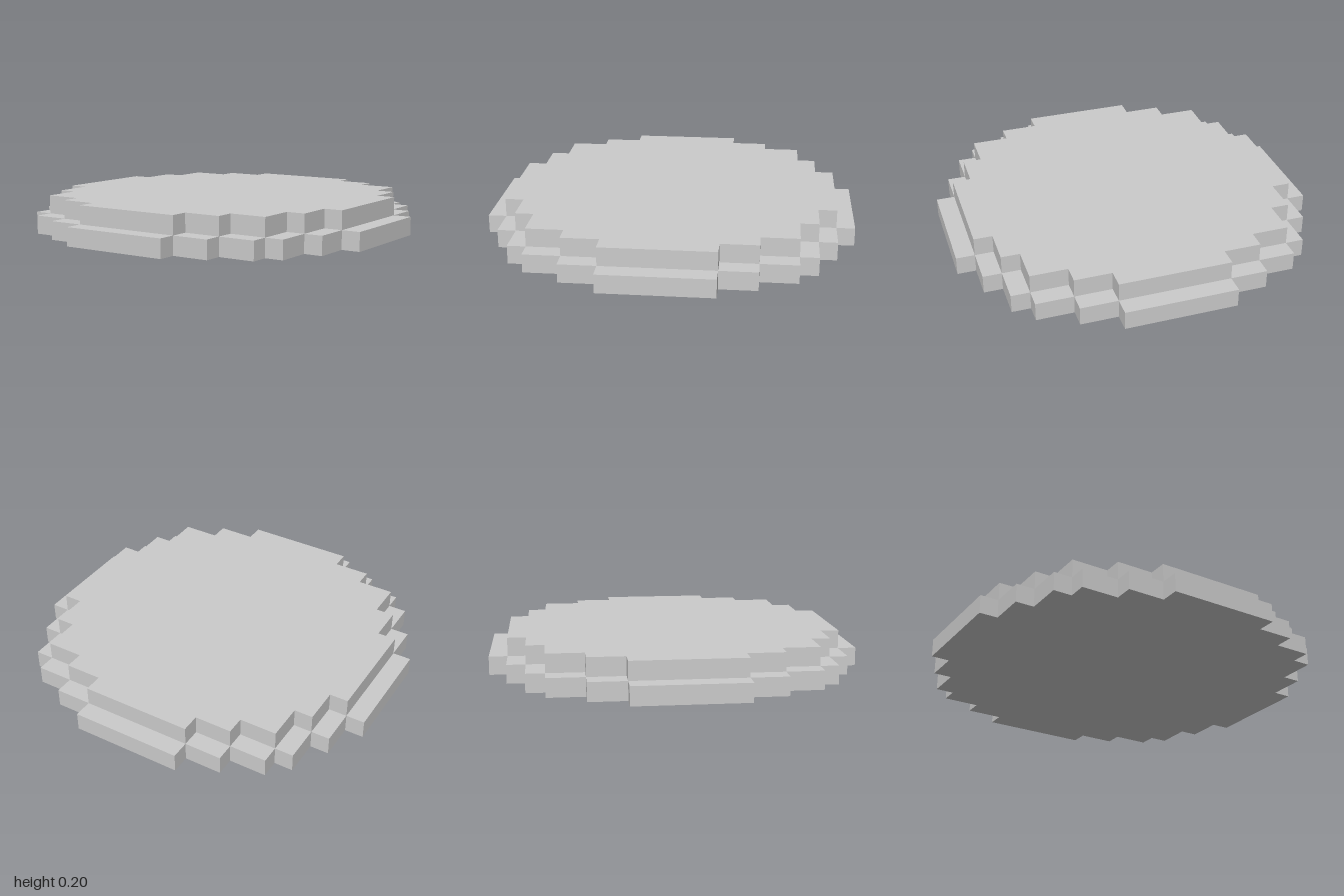
import * as THREE from 'three';

const TIER_HEIGHT = 0.1;

// Outer corners [x, z] of one stepped quadrant, from the +x side round to the +z side
const LOWER_STEPS = [[1, 0.3], [0.9, 0.5], [0.8, 0.7], [0.7, 0.8], [0.5, 0.9], [0.3, 1]];
const UPPER_STEPS = [[0.9, 0.3], [0.8, 0.5], [0.7, 0.7], [0.5, 0.8], [0.3, 0.9]];

// Full outline: the stepped quadrant repeated with quarter turns
function steppedDisc(steps) {
  const quadrant = [];
  steps.forEach(([x, z], i) => {
    quadrant.push([x, z]);
    if (i < steps.length - 1) quadrant.push([steps[i + 1][0], z]);
  });
  const points = [];
  for (let turn = 0; turn < 4; turn++) {
    for (const [x, z] of quadrant) {
      let px = x, pz = z;
      for (let k = 0; k < turn; k++) [px, pz] = [-pz, px];
      points.push(new THREE.Vector2(px, pz));
    }
  }
  return new THREE.Shape(points);
}

// One flat tier, standing on y = base
function makeTier(name, steps, base, material) {
  const geometry = new THREE.ExtrudeGeometry(steppedDisc(steps), { depth: TIER_HEIGHT, bevelEnabled: false });
  geometry.rotateX(-Math.PI / 2);
  geometry.translate(0, base, 0);
  const tier = new THREE.Mesh(geometry, material);
  tier.name = name;
  return tier;
}

export function createModel() {
  const group = new THREE.Group();
  group.name = 'steppedRoundPlatform';
  const material = new THREE.MeshStandardMaterial({ color: 0xcccccc, flatShading: true });
  group.add(makeTier('lowerTier', LOWER_STEPS, 0, material));
  group.add(makeTier('upperTier', UPPER_STEPS, TIER_HEIGHT, material));
  return group;
}
